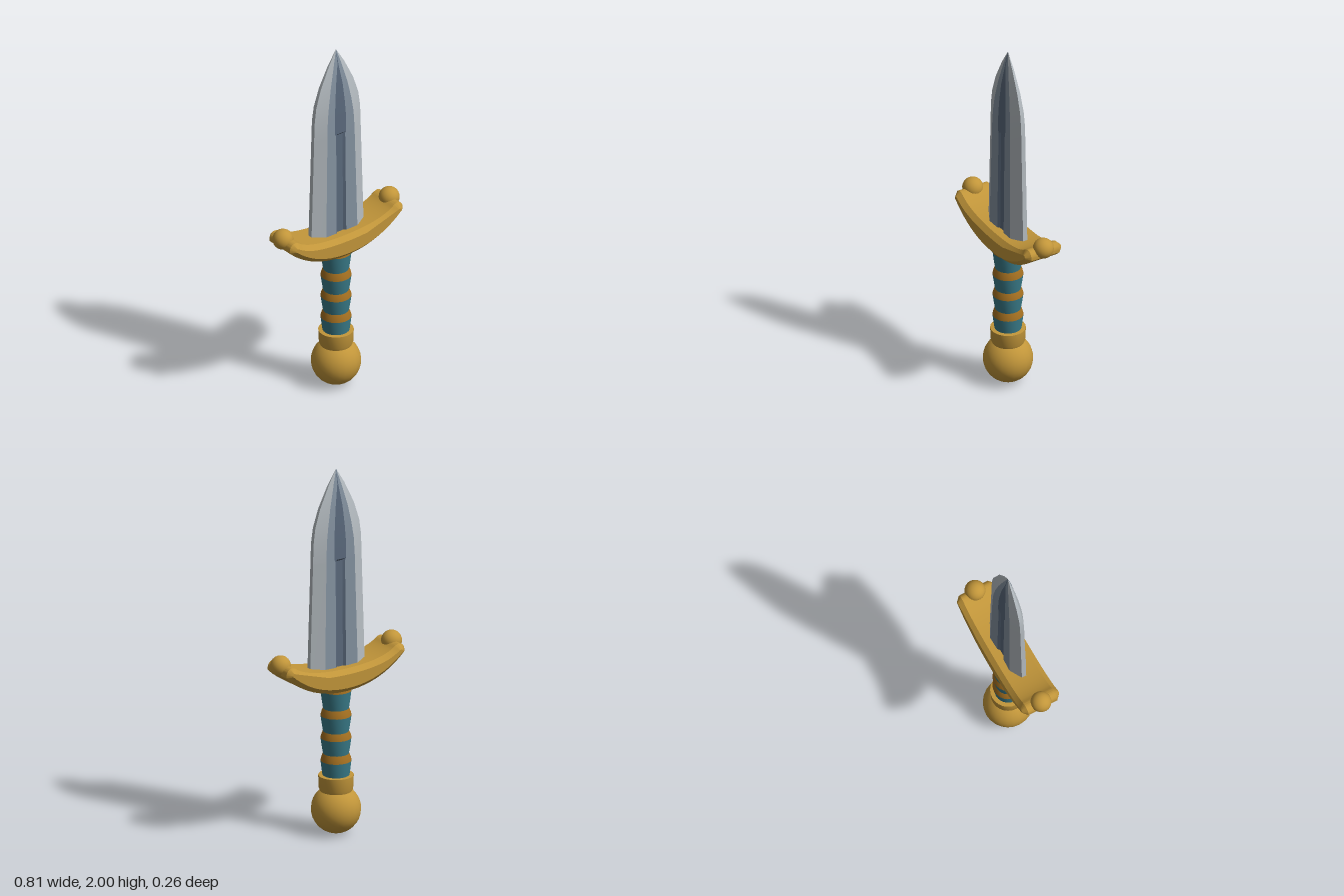
import * as THREE from 'three';
import { toCreasedNormals } from 'three/addons/utils/BufferGeometryUtils.js';

const paint = (name, color) => {
  const m = new THREE.MeshStandardMaterial({ color });
  m.name = name;
  return m;
};

export function createModel() {
  const model = new THREE.Group();
  model.name = 'dagger';
  const gold = paint('gold', 0xc2963a);
  const bronze = paint('bronze', 0xa36f20);
  const teal = paint('teal', 0x3a7c8a);
  const steel = paint('steelEdge', 0xb6bdc2);
  const slate = paint('steelFlat', 0x8492a0);
  const dark = paint('steelFuller', 0x5a697c);

  const add = (name, geometry, material, x = 0, y = 0, z = 0) => {
    const mesh = new THREE.Mesh(geometry, material);
    mesh.name = name;
    mesh.position.set(x, y, z);
    model.add(mesh);
    return mesh;
  };
  const lathe = (pts) => toCreasedNormals(
    new THREE.LatheGeometry(pts.map(([r, y]) => new THREE.Vector2(r, y)), 24), 0.5);

  // Pommel and its collar
  add('pommel', new THREE.SphereGeometry(0.131, 24, 16), gold, 0, 0.134, 0);
  add('collar', lathe([[0, 0.22], [0.078, 0.22], [0.09, 0.25], [0.093, 0.32], [0.066, 0.322], [0, 0.322]]), gold);

  // Grip: flared wraps separated by tapering bands
  const wraps = [[0.3, 0.4], [0.44, 0.525], [0.562, 0.648], [0.688, 0.785]];
  wraps.forEach(([y0, y1], i) => {
    const next = i < 3 ? wraps[i + 1][0] : 0.83;
    add('gripWrap', lathe([[0.068, y0], [0.075, (y0 + y1) / 2], [0.081, y1]]), teal);
    add('gripBand', lathe([[0.081, y1], [0.076, (y1 + next) / 2], [0.068, next]]), bronze);
  });

  // Crossguard: upswept crescent with chamfered rims
  const bevel = 0.025;
  const s = new THREE.Shape();
  s.moveTo(0, 0.8);
  s.quadraticCurveTo(0.22, 0.8, 0.373, 0.945);
  s.quadraticCurveTo(0.378, 0.985, 0.345, 0.995);
  s.quadraticCurveTo(0.325, 0.997, 0.305, 0.98);
  s.quadraticCurveTo(0.22, 0.925, 0, 0.925);
  s.quadraticCurveTo(-0.22, 0.925, -0.305, 0.98);
  s.quadraticCurveTo(-0.325, 0.997, -0.345, 0.995);
  s.quadraticCurveTo(-0.378, 0.985, -0.373, 0.945);
  s.quadraticCurveTo(-0.22, 0.8, 0, 0.8);
  const guard = new THREE.ExtrudeGeometry(s, {
    depth: 0.17, curveSegments: 10, bevelSegments: 1,
    bevelSize: bevel, bevelThickness: bevel, bevelOffset: -bevel,
  });
  guard.translate(0, 0, -0.085);
  add('crossguard', toCreasedNormals(guard, 0.6), gold);
  for (const side of [-1, 1]) {
    add('guardBall', new THREE.SphereGeometry(0.055, 20, 14), gold, side * 0.352, 0.987, 0);
  }

  // Blade sections: y, half widths of edge, flat and fuller, then half depths of the same
  const levels = [
    [0.87, 0.174, 0.104, 0.032, 0.013, 0.05, 0.036],
    [1.505, 0.154, 0.09, 0.03, 0.012, 0.042, 0.031],
    [1.515, 0.154, 0.09, 0.036, 0.012, 0.042, 0.039],
    [1.62, 0.15, 0.085, 0.036, 0.012, 0.039, 0.037],
    [1.7, 0.139, 0.074, 0.031, 0.011, 0.035, 0.034],
    [1.8, 0.107, 0.055, 0.022, 0.009, 0.027, 0.028],
    [1.92, 0.049, 0.024, 0.003, 0.005, 0.013, 0.016],
    [2.0, 0.0006, 0.0004, 0.0001, 0.0003, 0.0004, 0.0005],
  ];
  const ring = ([y, e, f, u, ze, zf, zu]) => {
    const rim = Math.max(zf * 0.93, zu);
    const half = [[-e, ze], [-f, zf], [-u, rim], [-u * 0.6, zu], [u * 0.6, zu], [u, rim], [f, zf], [e, ze]];
    const back = half.map(([x, z]) => [-x, -z]);
    return [...half, ...back].map(([x, z]) => [x, y, z]);
  };
  const rings = levels.map(ring);
  const strips = { bladeEdges: [0, 6, 7], bladeFlats: [1, 5], bladeFullers: [2, 3, 4] };
  const finish = { bladeEdges: steel, bladeFlats: slate, bladeFullers: dark };
  for (const [name, columns] of Object.entries(strips)) {
    const pos = [];
    for (let k = 0; k < rings.length - 1; k++) {
      for (const c of [...columns, ...columns.map((n) => n + 8)]) {
        const d = (c + 1) % 16;
        const [p, q, r, t] = [rings[k][c], rings[k][d], rings[k + 1][d], rings[k + 1][c]];
        pos.push(...p, ...q, ...r, ...p, ...r, ...t);
      }
    }
    const g = new THREE.BufferGeometry();
    g.setAttribute('position', new THREE.Float32BufferAttribute(pos, 3));
    add(name, toCreasedNormals(g, 0.4), finish[name]);
  }
  return model;
}
